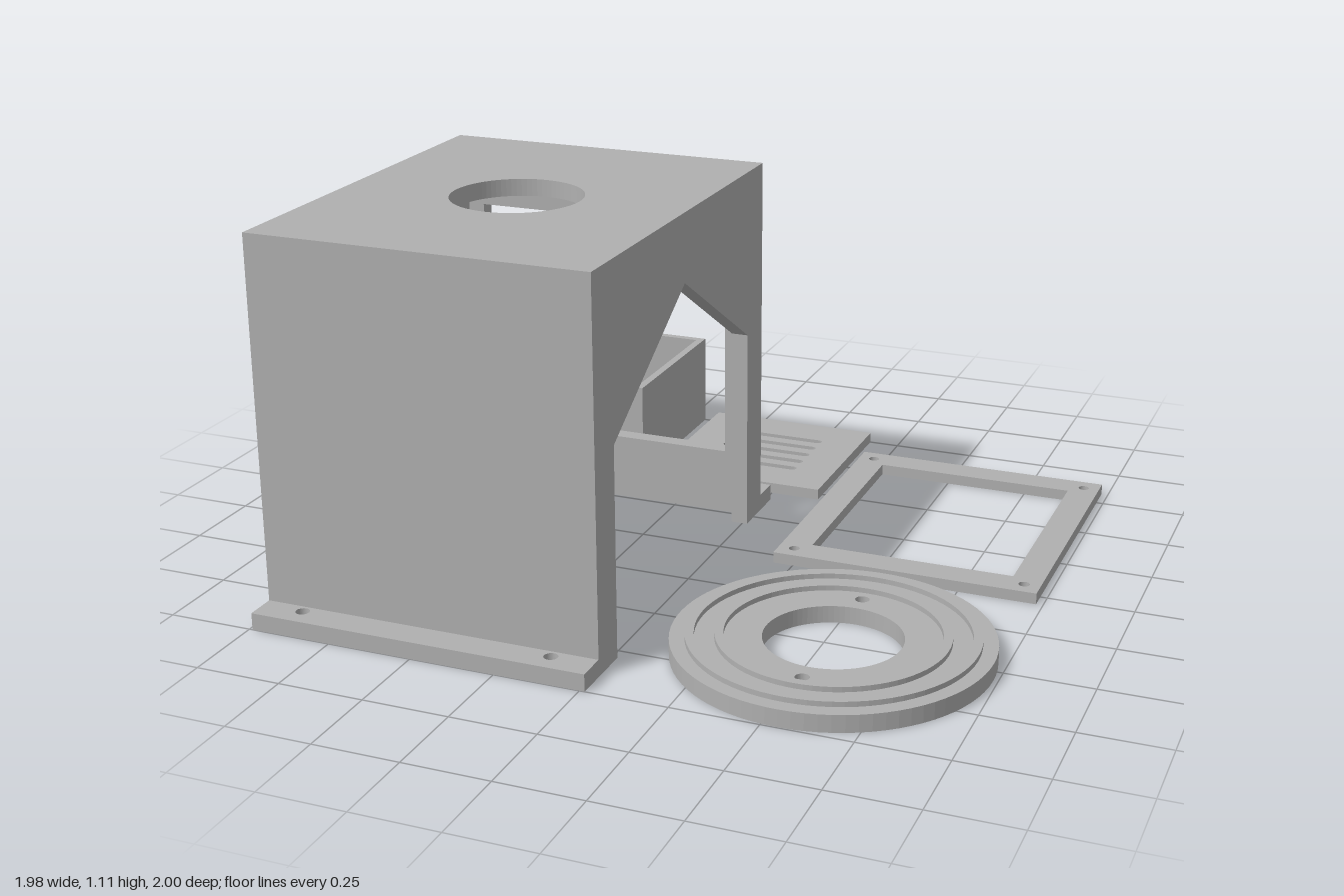
import * as THREE from 'three';

const grey = new THREE.MeshStandardMaterial({ color: 0xb0b0b0 });
grey.name = 'grey';

// ---- outline helpers ----
const poly = (pts, Type = THREE.Shape) => new Type(pts.map(([a, b]) => new THREE.Vector2(a, b)));
const rect = (x0, y0, x1, y1, Type) => poly([[x0, y0], [x1, y0], [x1, y1], [x0, y1]], Type);
const circle = (x, y, r, Type = THREE.Path) => new Type().absarc(x, y, r, 0, Math.PI * 2, false);
// rounded slot: half length l along its axis, radius r
function slot(x, y, l, r, vertical = false) {
  const p = new THREE.Path();
  const d = l - r;
  const t = vertical ? Math.PI / 2 : 0;
  const dx = vertical ? 0 : d, dy = vertical ? d : 0;
  p.absarc(x + dx, y + dy, r, t - Math.PI / 2, t + Math.PI / 2, false);
  p.absarc(x - dx, y - dy, r, t + Math.PI / 2, t + Math.PI * 1.5, false);
  p.closePath();
  return p;
}

function extrude(shape, holes, depth) {
  shape.holes.push(...holes);
  return new THREE.ExtrudeGeometry(shape, { depth, bevelEnabled: false, curveSegments: 40 });
}
// horizontal slab, outline in (x, z), from y0 to y1
const slab = (shape, holes, y0, y1) =>
  extrude(shape, holes, y1 - y0).rotateX(Math.PI / 2).translate(0, y1, 0);
// wall outlined in (x, y), from z0 to z1
const wallZ = (shape, holes, z0, z1) => extrude(shape, holes, z1 - z0).translate(0, 0, z0);
// wall outlined in (z, y), from x0 to x1
const wallX = (shape, holes, x0, x1) =>
  extrude(shape, holes, x1 - x0).rotateY(-Math.PI / 2).translate(x1, 0, 0);

function part(group, name, geometry) {
  const mesh = new THREE.Mesh(geometry, grey);
  mesh.name = name;
  group.add(mesh);
}
function subgroup(parent, name) {
  const g = new THREE.Group();
  g.name = name;
  parent.add(g);
  return g;
}

// ---- large cover with arched sides, rear window and screw flanges ----
function buildCover(root) {
  const g = subgroup(root, 'cover');
  const x0 = -0.99, x1 = 0.015, z0 = -0.31, z1 = 0.91, h = 1.11, t = 0.05;
  const arch = () => poly([
    [z0, 0], [-0.19, 0], [-0.19, 0.61], [0.3, 0.91], [0.79, 0.61],
    [0.79, 0], [z1, 0], [z1, h], [z0, h],
  ]);
  part(g, 'rightSide', wallX(arch(), [], x0, x0 + t));
  part(g, 'leftSide', wallX(arch(), [], x1 - t, x1));
  const a = x0 + t, b = x1 - t;
  part(g, 'roof', slab(rect(a, z0, b, z1), [circle(-0.49, 0.3, 0.19)], h - t, h));
  part(g, 'frontWall', wallZ(rect(a, 0, b, h - t), [], z1 - t, z1));
  part(g, 'backWall', wallZ(rect(a, 0, b, h - t),
    [rect(a + 0.05, 0.2, b - 0.05, 0.91, THREE.Path)], z0, z0 + t));
  for (const [name, za, zb, zh] of [['frontFlange', z1, 1, 0.938], ['backFlange', -0.4, z0, -0.345]]) {
    part(g, name, slab(rect(x0, za, x1, zb),
      [circle(-0.865, zh, 0.02), circle(-0.11, zh, 0.02)], 0, t));
  }
}

// ---- small open box with holes in its floor and a slot in the back ----
function buildBox(root) {
  const g = subgroup(root, 'box');
  const x0 = -0.99, x1 = -0.445, z0 = -1, z1 = -0.455, h = 0.295, t = 0.024;
  part(g, 'boxFloor', slab(rect(x0 + t, z0 + t, x1 - t, z1 - t),
    [circle(-0.718, -0.728, 0.112), circle(-0.718, -0.56, 0.028)], 0, t));
  part(g, 'boxBack', wallZ(rect(x0, 0, x1, h), [slot(-0.718, 0.15, 0.052, 0.027, true)], z0, z0 + t));
  part(g, 'boxFront', wallZ(rect(x0, 0, x1, h), [], z1 - t, z1));
  part(g, 'boxRight', wallX(rect(z0 + t, 0, z1 - t, h), [], x0, x0 + t));
  part(g, 'boxLeft', wallX(rect(z0 + t, 0, z1 - t, h), [], x1 - t, x1));
}

// ---- round flange with raised lips ----
function buildRing(root) {
  const g = subgroup(root, 'roundFlange');
  const cx = 0.545, cz = 0.555;
  const disc = (r) => circle(cx, cz, r, THREE.Shape);
  part(g, 'flangeDisc', slab(disc(0.442),
    [circle(cx, cz, 0.192), circle(cx, cz - 0.253, 0.02), circle(cx, cz + 0.253, 0.02)], 0, 0.05));
  part(g, 'outerLip', slab(disc(0.4), [circle(cx, cz, 0.375)], 0.05, 0.065));
  part(g, 'innerLip', slab(disc(0.32), [circle(cx, cz, 0.295)], 0.05, 0.065));
}

export function createModel() {
  const root = new THREE.Group();
  root.name = 'enclosureParts';
  buildCover(root);
  buildBox(root);
  buildRing(root);

  // vent plate with five slots
  const slots = [];
  for (let i = 0; i < 5; i++) slots.push(slot(-0.12, -0.856 + i * 0.0638, 0.15, 0.0135));
  part(root, 'ventPlate', slab(rect(-0.395, -1, 0.155, -0.455), slots, 0, 0.033));

  // square frame with corner screw holes
  const holes = [rect(0.28, -0.735, 0.89, -0.04, THREE.Path)];
  for (const x of [0.238, 0.932]) for (const z of [-0.776, 0.002]) holes.push(circle(x, z, 0.016));
  part(root, 'squareFrame', slab(rect(0.19, -0.825, 0.98, 0.052), holes, 0, 0.033));

  return root;
}
